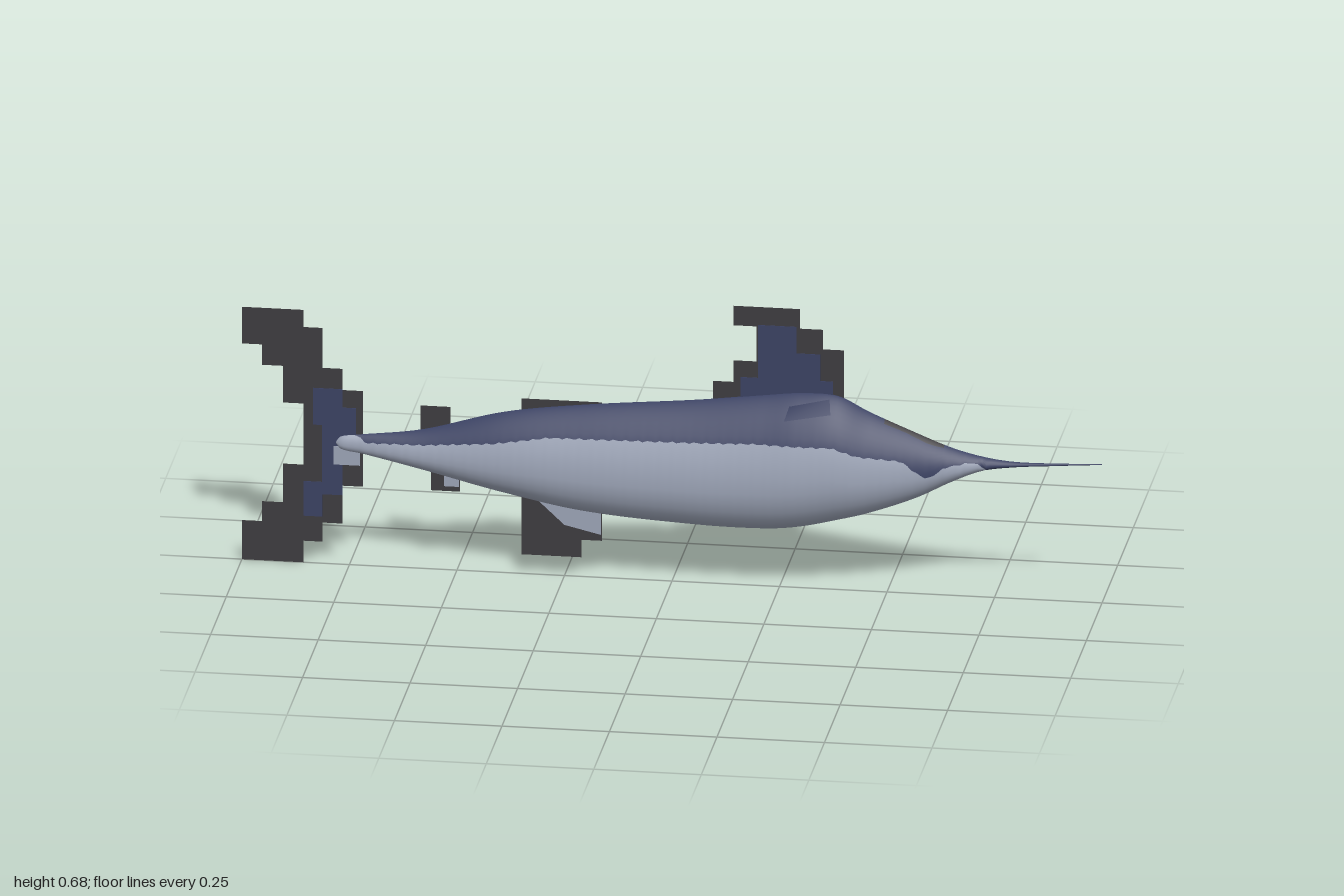
import * as THREE from 'three';
import { mergeGeometries } from 'three/addons/utils/BufferGeometryUtils.js';

const navy = new THREE.MeshStandardMaterial({ color: 0x3a4162, side: THREE.DoubleSide });
navy.name = 'navy';
const silver = new THREE.MeshStandardMaterial({ color: 0x9aa2b4, side: THREE.DoubleSide });
silver.name = 'silver';
const charcoal = new THREE.MeshStandardMaterial({ color: 0x3d3b3f, side: THREE.DoubleSide });
charcoal.name = 'charcoal';

// Body stations: x, top y, bottom y, half width
const BODY = [
  [-0.782, 0.302, 0.298, 0.001], [-0.77, 0.316, 0.284, 0.009], [-0.72, 0.322, 0.275, 0.013],
  [-0.58, 0.342, 0.245, 0.034], [-0.39, 0.395, 0.2, 0.061], [-0.2, 0.423, 0.165, 0.078],
  [0.06, 0.449, 0.147, 0.092], [0.22, 0.47, 0.146, 0.097], [0.3, 0.479, 0.155, 0.098],
  [0.385, 0.476, 0.175, 0.09], [0.46, 0.44, 0.196, 0.075], [0.57, 0.394, 0.238, 0.049],
  [0.65, 0.363, 0.28, 0.032], [0.72, 0.345, 0.31, 0.017], [0.79, 0.336, 0.322, 0.008],
  [0.87, 0.336, 0.329, 0.004], [1, 0.341, 0.339, 0.001],
];
// Line where the dark back meets the pale belly: x, y
const SEAM = [
  [-0.79, 0.33], [-0.74, 0.325], [-0.71, 0.305], [-0.58, 0.312], [-0.41, 0.332], [-0.28, 0.355],
  [0.06, 0.367], [0.2, 0.374], [0.38, 0.374], [0.44, 0.353], [0.54, 0.34], [0.575, 0.312],
  [0.6, 0.298], [0.64, 0.325], [0.7, 0.335], [0.725, 0.325], [0.74, 0.2], [1, 0.2],
];

function locate(table, x) {
  let i = 0;
  while (i < table.length - 2 && x > table[i + 1][0]) i++;
  return i;
}
function linear(table, x, col) {
  const i = locate(table, x), p = table[i], q = table[i + 1];
  return THREE.MathUtils.mapLinear(x, p[0], q[0], p[col], q[col]);
}
// Smooth interpolation through unevenly spaced stations
function smooth(table, x, col) {
  const i = locate(table, x), p = table[i], q = table[i + 1], h = q[0] - p[0], t = (x - p[0]) / h;
  const slope = (k) => {
    const a = table[Math.max(k - 1, 0)], b = table[Math.min(k + 1, table.length - 1)];
    return ((b[col] - a[col]) / (b[0] - a[0])) * h;
  };
  const t2 = t * t, t3 = t2 * t;
  return (2 * t3 - 3 * t2 + 1) * p[col] + (t3 - 2 * t2 + t) * slope(i)
    + (3 * t2 - 2 * t3) * q[col] + (t3 - t2) * slope(i + 1);
}

// Egg-shaped loft whose rings always carry a vertex on the colour seam
function bodyGeometry() {
  const M = 10, ring = 4 * M, N = 180, first = BODY[0][0];
  const pos = [], faces = [[], [], []];
  for (let i = 0; i <= N; i++) {
    const x = first + ((1 - first) * i) / N;
    const top = smooth(BODY, x, 1), bottom = smooth(BODY, x, 2);
    const w = Math.max(smooth(BODY, x, 3), 0.001);
    const mid = bottom + 0.38 * (top - bottom);
    const d = linear(SEAM, x, 1) + 0.002 * Math.sin(i * 2.3) - mid;
    const seam = Math.asin(THREE.MathUtils.clamp(d / (d > 0 ? top - mid : mid - bottom), -0.99, 0.99));
    for (let j = 0; j < ring; j++) {
      const k = j <= 2 * M ? j : ring - j;
      const a = k <= M ? THREE.MathUtils.lerp(-Math.PI / 2, seam, k / M)
        : THREE.MathUtils.lerp(seam, Math.PI / 2, (k - M) / M);
      const s = Math.sin(a), c = Math.max(Math.cos(a), 0);
      const z = w * (a > 0 ? Math.pow(c, 1.6) : c);
      pos.push(x, mid + s * (s > 0 ? top - mid : mid - bottom), j <= 2 * M ? z : -z);
    }
    if (i === N) break;
    for (let j = 0; j < ring; j++) {
      const a = i * ring + j, d2 = i * ring + ((j + 1) % ring);
      const isBack = j >= M && j < 3 * M;
      const isBrow = x > 0.49 && x < 0.63 && j >= 2 * M - 3 && j < 2 * M + 3;
      faces[isBrow ? 2 : isBack ? 0 : 1].push(a, a + ring, d2 + ring, a, d2 + ring, d2);
    }
  }
  const g = new THREE.BufferGeometry();
  g.setAttribute('position', new THREE.Float32BufferAttribute(pos, 3));
  g.setIndex(faces.flat());
  let start = 0;
  faces.forEach((f, m) => { g.addGroup(start, f.length, m); start += f.length; });
  g.computeVertexNormals();
  return g;
}

// Stepped plate made of rectangles [x0, x1, y0, y1]; thickness 0 gives a flat sheet
function plate(name, rects, material, thickness = 0) {
  const parts = rects.map(([x0, x1, y0, y1]) => {
    const g = thickness ? new THREE.BoxGeometry(x1 - x0, y1 - y0, thickness)
      : new THREE.PlaneGeometry(x1 - x0, y1 - y0);
    return g.translate((x0 + x1) / 2, (y0 + y1) / 2, 0);
  });
  const mesh = new THREE.Mesh(mergeGeometries(parts), material);
  mesh.name = name;
  return mesh;
}

export function createModel() {
  const model = new THREE.Group();
  model.name = 'fish';
  const body = new THREE.Mesh(bodyGeometry(), [navy, silver, charcoal]);
  body.name = 'body';
  model.add(body);

  // Crescent tail
  model.add(plate('tailFin', [
    [-1, -0.953, 0.53, 0.62], [-1, -0.953, 0, 0.096],
    [-0.953, -0.905, 0.48, 0.62], [-0.953, -0.905, 0, 0.145],
    [-0.905, -0.857, 0.39, 0.62], [-0.905, -0.857, 0, 0.24],
    [-0.857, -0.813, 0.053, 0.578], [-0.813, -0.766, 0.1, 0.48], [-0.766, -0.718, 0.193, 0.428],
  ], charcoal));
  model.add(plate('tailFinCentre', [
    [-0.813, -0.766, 0.17, 0.43], [-0.766, -0.735, 0.29, 0.385],
    [-0.835, -0.813, 0.34, 0.43], [-0.857, -0.813, 0.115, 0.2],
  ], navy, 0.003));
  model.add(plate('tailFinPatch', [[-0.787, -0.725, 0.245, 0.29]], silver, 0.005));

  // Tall stepped dorsal fin
  model.add(plate('dorsalFin', [
    [0.095, 0.143, 0.43, 0.497], [0.143, 0.196, 0.636, 0.684], [0.143, 0.196, 0.43, 0.55],
    [0.196, 0.298, 0.44, 0.684], [0.298, 0.351, 0.44, 0.636], [0.351, 0.4, 0.44, 0.588],
  ], charcoal));
  model.add(plate('dorsalFinCentre', [
    [0.16, 0.2, 0.44, 0.51], [0.2, 0.29, 0.44, 0.64], [0.29, 0.345, 0.44, 0.575],
    [0.345, 0.375, 0.44, 0.51],
  ], navy, 0.003));

  // Small fins along the rear of the body
  model.add(plate('rearDorsalFin', [[-0.35, -0.163, 0.37, 0.43]], charcoal));
  model.add(plate('upperFinlet', [[-0.585, -0.515, 0.32, 0.4]], charcoal));
  model.add(plate('lowerFinlet', [[-0.56, -0.493, 0.193, 0.28]], charcoal));
  model.add(plate('lowerFinletPatch', [[-0.53, -0.495, 0.205, 0.235]], silver, 0.003));
  model.add(plate('analFin', [
    [-0.35, -0.21, 0.047, 0.23], [-0.21, -0.163, 0.09, 0.22],
  ], charcoal));
  const patch = new THREE.Shape([[-0.32, 0.19], [-0.25, 0.125], [-0.165, 0.105], [-0.165, 0.19]]
    .map(([x, y]) => new THREE.Vector2(x, y)));
  const analPatch = new THREE.Mesh(
    new THREE.ExtrudeGeometry(patch, { depth: 0.003, bevelEnabled: false }).translate(0, 0, -0.0015), silver);
  analPatch.name = 'analFinPatch';
  model.add(analPatch);

  // Swept pectoral fins, one per side
  for (const [side, name] of [[1, 'leftPectoralFin'], [-1, 'rightPectoralFin']]) {
    const g = new THREE.BufferGeometry();
    g.setAttribute('position', new THREE.Float32BufferAttribute([
      0.275, 0.444, 0.102 * side, 0.375, 0.444, 0.045 * side,
      0.37, 0.475, 0.025 * side, 0.285, 0.475, 0.085 * side,
    ], 3));
    g.setIndex(side > 0 ? [0, 1, 2, 0, 2, 3] : [0, 2, 1, 0, 3, 2]);
    g.computeVertexNormals();
    const fin = new THREE.Mesh(g, navy);
    fin.name = name;
    model.add(fin);
  }
  return model;
}
